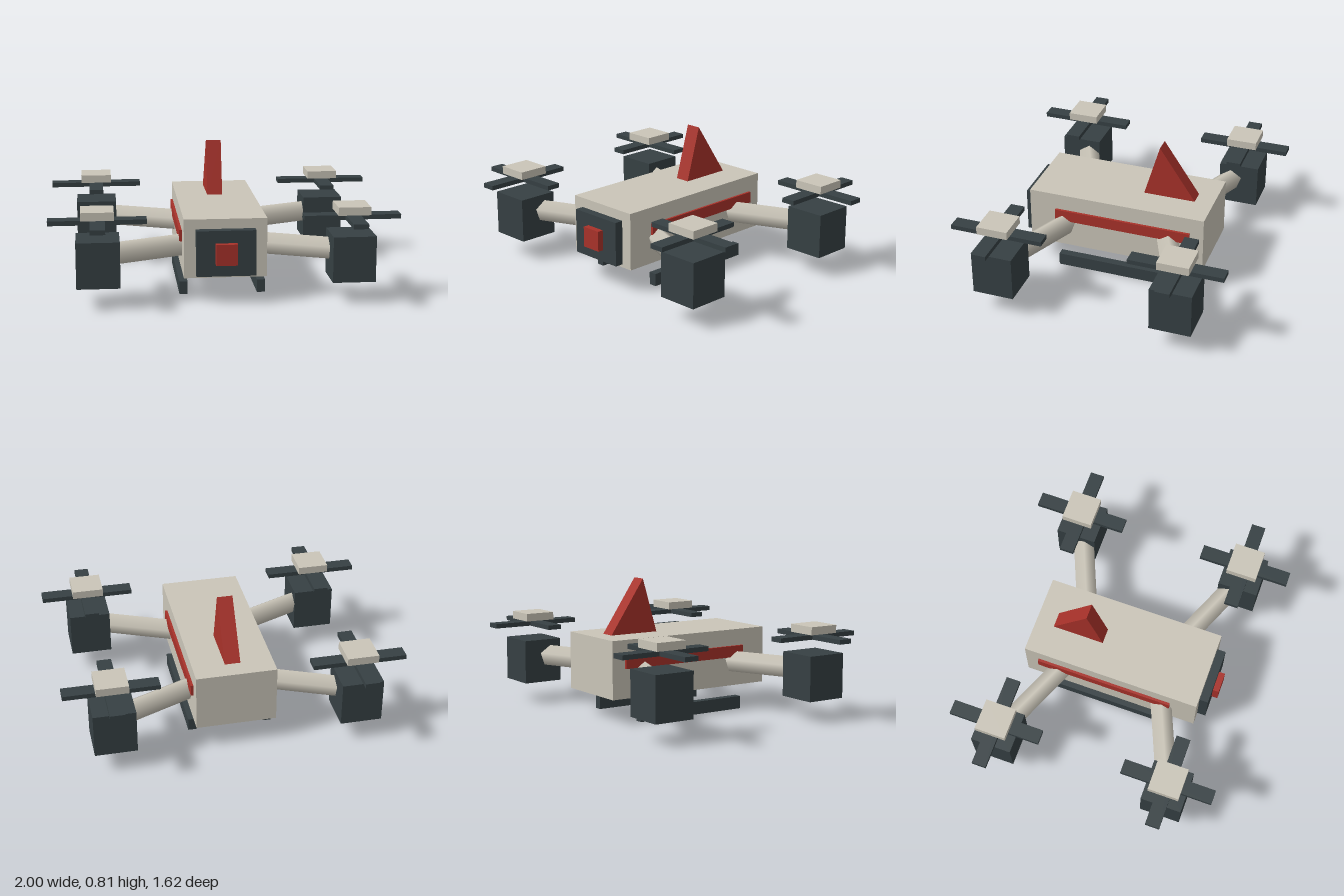
import * as THREE from 'three';

const CREAM = new THREE.MeshStandardMaterial({ color: 0xcac5b8 });
const DARK = new THREE.MeshStandardMaterial({ color: 0x364043 });
const RED = new THREE.MeshStandardMaterial({ color: 0xa8322a });

function add(parent, name, geometry, material) {
  const mesh = new THREE.Mesh(geometry, material);
  mesh.name = name;
  parent.add(mesh);
  return mesh;
}

// Box given by its centre, bottom height and size
function box(parent, name, material, [w, h, d], [x, bottom, z]) {
  const mesh = add(parent, name, new THREE.BoxGeometry(w, h, d), material);
  mesh.position.set(x, bottom + h / 2, z);
  return mesh;
}

// Five-sided smooth strut with one ridge pointing up
function strut(parent, name, from, to, radius) {
  const along = to.clone().sub(from);
  const geometry = new THREE.CylinderGeometry(radius, radius, along.length(), 5);
  const axis = along.clone().normalize();
  const up = new THREE.Vector3(0, 1, 0);
  const side = new THREE.Vector3().crossVectors(axis, up);
  const mesh = add(parent, name, geometry, CREAM);
  mesh.quaternion.setFromRotationMatrix(new THREE.Matrix4().makeBasis(side, axis, up));
  mesh.position.copy(from).add(to).multiplyScalar(0.5);
}

export function createModel() {
  const model = new THREE.Group();
  model.name = 'quadcopter';

  // Fuselage with nose plate and lens
  box(model, 'body', CREAM, [0.475, 0.342, 1.085], [0, 0.146, 0]);
  box(model, 'nosePlate', DARK, [0.34, 0.265, 0.07], [0, 0.166, 0.56]);
  box(model, 'lens', RED, [0.123, 0.122, 0.06], [0, 0.237, 0.602]);

  // Wedge-shaped tail fin
  const profile = new THREE.Shape([
    new THREE.Vector2(-0.435, 0.48),
    new THREE.Vector2(-0.113, 0.48),
    new THREE.Vector2(-0.21, 0.81),
  ]);
  const fin = new THREE.ExtrudeGeometry(profile, { depth: 0.092, bevelEnabled: false });
  fin.rotateY(-Math.PI / 2);
  fin.translate(0.046, 0, 0);
  add(model, 'tailFin', fin, RED);

  for (const sx of [1, -1]) {
    const sideName = sx > 0 ? 'left' : 'right';
    box(model, sideName + 'Stripe', RED, [0.04, 0.068, 0.84], [sx * 0.233, 0.321, -0.04]);
    box(model, sideName + 'Skid', DARK, [0.048, 0.076, 0.72], [sx * 0.228, 0, 0]);

    // Arm, motor and rotor at each corner
    for (const sz of [1, -1]) {
      const corner = new THREE.Group();
      corner.name = sideName + (sz > 0 ? 'Front' : 'Back') + 'Rotor';
      const x = sx * 0.7225, z = sz * 0.5325;
      strut(corner, 'arm',
        new THREE.Vector3(sx * 0.2, 0.289, sz * 0.311),
        new THREE.Vector3(sx * 0.7, 0.289, sz * 0.523), 0.066);
      box(corner, 'motor', DARK, [0.246, 0.265, 0.246], [x, 0.128, z]);
      box(corner, 'bladeAcross', DARK, [0.555, 0.027, 0.085], [x, 0.475, z]);
      box(corner, 'bladeAlong', DARK, [0.085, 0.027, 0.555], [x, 0.475, z]);
      box(corner, 'rotorCap', CREAM, [0.186, 0.047, 0.186], [x, 0.51, z]);
      model.add(corner);
    }
  }
  return model;
}
